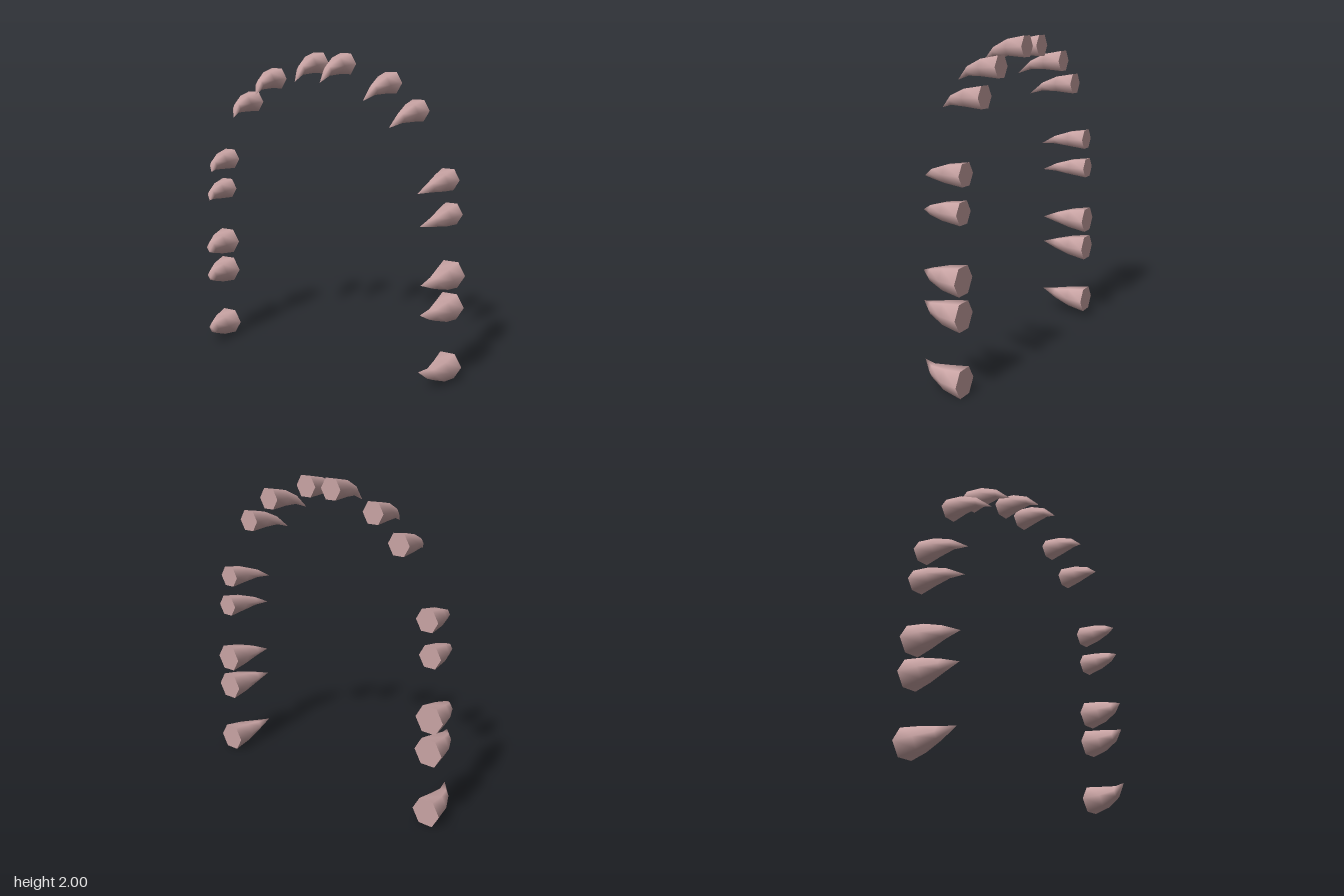
import * as THREE from 'three';

const BACK = -0.157, SIDES = 6;
// cross-sections: z position, radius factor, share of the sideways bend
const SECTIONS = [[BACK, 1, 0], [-0.035, 0.77, 0.07], [0.072, 0.41, 0.35]];
const TIP_Z = 0.157;

// one side of the arch: base x, base y, base radius, tip offset x, tip offset y
const SPIKES = [
  [0.831, 0.082, 0.094, -0.069, 0.055],
  [0.831, 0.475, 0.094, -0.069, 0.023],
  [0.831, 0.681, 0.094, -0.069, 0.002],
  [0.821, 1.062, 0.074, -0.075, -0.025],
  [0.793, 1.27, 0.074, -0.068, -0.041],
  [0.589, 1.672, 0.074, -0.05, -0.075],
  [0.407, 1.83, 0.074, -0.036, -0.086],
  [0.096, 1.936, 0.074, -0.01, -0.098],
];

// curved six-sided cone, open at the back
function spikeGeometry(radius, bendX, bendY) {
  const pos = [], index = [];
  for (const [z, r, bend] of SECTIONS) {
    for (let i = 0; i < SIDES; i++) {
      const a = (i / SIDES) * Math.PI * 2;
      pos.push(Math.cos(a) * r * radius + bendX * bend, Math.sin(a) * r * radius + bendY * bend, z);
    }
  }
  const tip = pos.length / 3;
  pos.push(bendX, bendY, TIP_Z);
  for (let j = 0; j < SECTIONS.length; j++) {
    for (let i = 0; i < SIDES; i++) {
      const a = j * SIDES + i, b = j * SIDES + (i + 1) % SIDES;
      if (j === SECTIONS.length - 1) index.push(a, b, tip);
      else index.push(a, b, b + SIDES, a, b + SIDES, a + SIDES);
    }
  }
  const geo = new THREE.BufferGeometry();
  geo.setAttribute('position', new THREE.Float32BufferAttribute(pos, 3));
  geo.setIndex(index);
  geo.computeVertexNormals();
  return geo;
}

export function createModel() {
  const model = new THREE.Group();
  model.name = 'spikeArch';
  const dustyPink = new THREE.MeshStandardMaterial({ color: 0xc9a4a4 });
  dustyPink.name = 'dustyPink';

  for (const side of [1, -1]) {
    SPIKES.forEach(([x, y, radius, bendX, bendY], i) => {
      const spike = new THREE.Group();
      spike.name = `${side > 0 ? 'left' : 'right'}Spike${i + 1}`;
      spike.position.set(side * x, y, 0);

      const horn = new THREE.Mesh(spikeGeometry(radius, side * bendX, bendY), dustyPink);
      horn.name = 'horn';

      // flat hexagonal back
      const base = new THREE.Mesh(new THREE.CircleGeometry(radius, SIDES), dustyPink);
      base.name = 'base';
      base.rotation.y = Math.PI;
      base.position.z = BACK;

      spike.add(horn, base);
      model.add(spike);
    });
  }
  return model;
}
